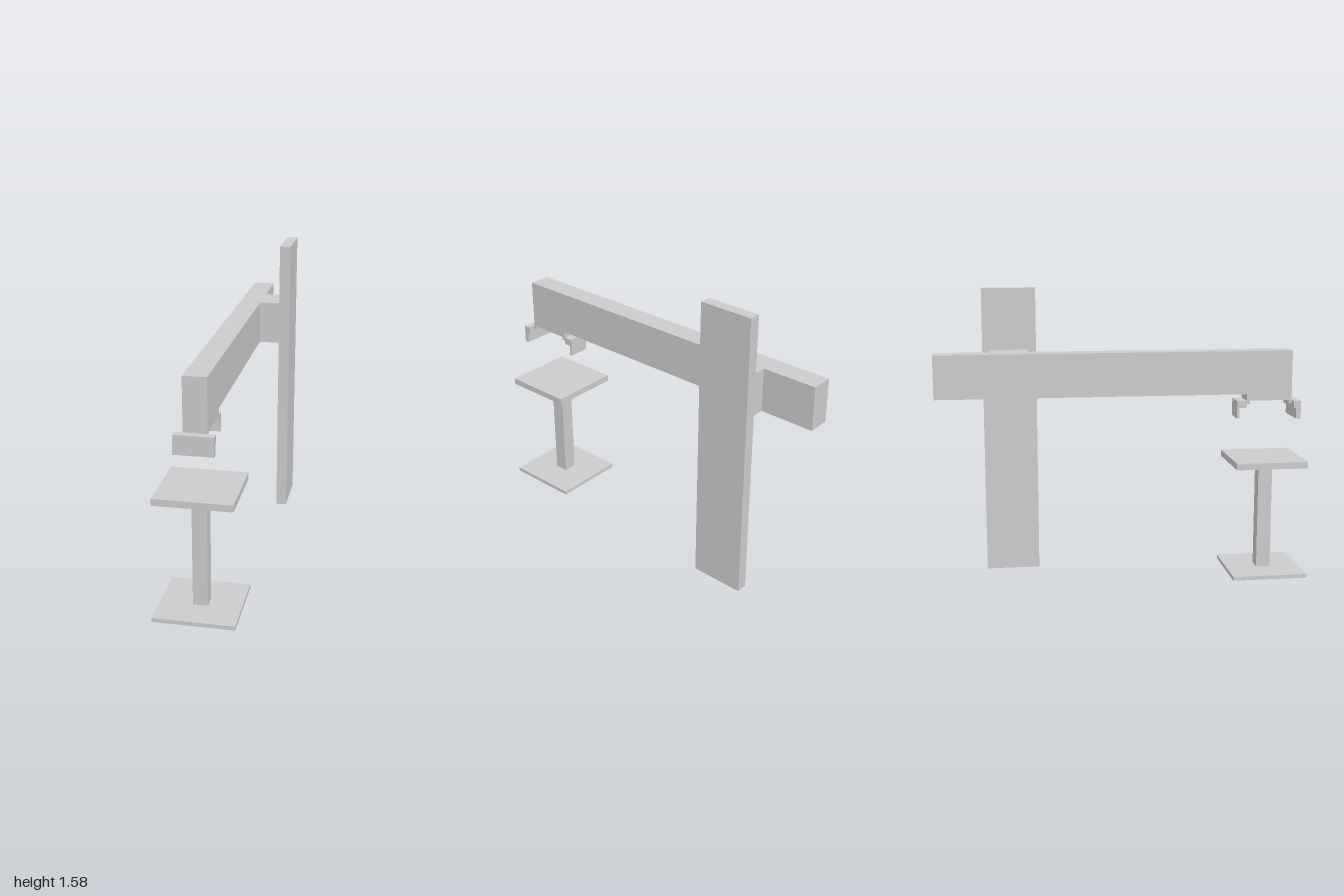
import * as THREE from 'three';

const material = new THREE.MeshStandardMaterial({ color: 0xcccccc, flatShading: true });

// Box from its [min, max] range on each axis
function block(name, [x0, x1], [y0, y1], [z0, z1]) {
  const mesh = new THREE.Mesh(new THREE.BoxGeometry(x1 - x0, y1 - y0, z1 - z0), material);
  mesh.position.set((x0 + x1) / 2, (y0 + y1) / 2, (z0 + z1) / 2);
  mesh.name = name;
  return mesh;
}

// Hooked jaw: a lip under the mount, a shoulder and a hanging finger, stacked outwards in z
function jaw(name, width, armWidth, lipZ, shoulderZ, fingerZ) {
  const group = new THREE.Group();
  group.name = name;
  group.add(
    block('jawLip', armWidth, [0.952, 0.969], lipZ),
    block('jawShoulder', width, [0.93, 0.969], shoulderZ),
    block('jawFinger', width, [0.872, 0.93], fingerZ)
  );
  return group;
}

export function createModel() {
  const model = new THREE.Group();
  model.name = 'gantryArmWithPedestal';
  const armX = [-0.071, 0.046];
  const armY = [1.005, 1.24];

  // Upright column, side bracket and long arm
  model.add(
    block('column', [0.163, 0.222], [0, 1.575], [-0.742, -0.45]),
    block('bracket', [0.046, 0.163], armY, [-0.705, -0.493]),
    block('arm', armX, armY, [-1, 0.93])
  );

  // Mount and jaws under the free end of the arm
  model.add(
    block('jawMount', armX, [0.969, 1.005], [0.68, 0.93]),
    jaw('frontJaw', [-0.111, 0.085], armX, [0.915, 0.932], [0.932, 0.972], [0.946, 0.972]),
    jaw('backJaw', armX, armX, [0.68, 0.697], [0.627, 0.68], [0.627, 0.64])
  );

  // Pedestal table
  model.add(
    block('pedestalBase', [-0.225, 0.187], [0, 0.021], [0.588, 1]),
    block('pedestalPost', [-0.058, 0.018], [0.021, 0.615], [0.758, 0.836]),
    block('tableTop', [-0.215, 0.177], [0.615, 0.65], [0.598, 0.99])
  );
  return model;
}
